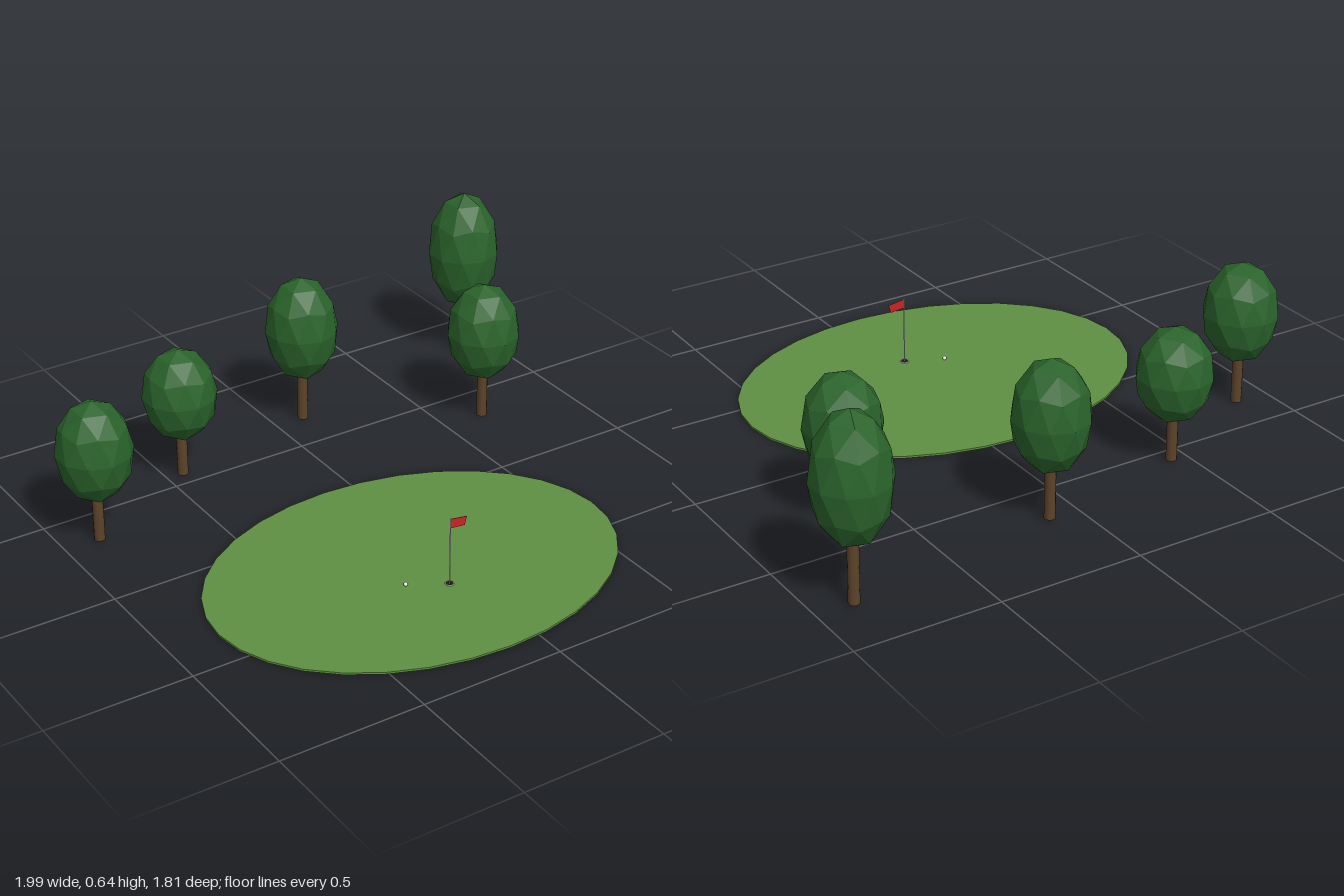
import * as THREE from 'three';

const mat = (name, color, extra = {}) => {
  const m = new THREE.MeshStandardMaterial({ color, ...extra });
  m.name = name;
  return m;
};

export function createModel() {
  const model = new THREE.Group();
  model.name = 'puttingGreen';

  const grass = mat('grass', 0x5f8f42);
  const leaves = mat('leaves', 0x2a632b, { flatShading: true });
  const bark = mat('bark', 0x5c4329);
  const white = mat('white', 0xe8e8e8);
  const red = mat('flagRed', 0xc62424, { side: THREE.DoubleSide });
  const dark = mat('holeDark', 0x1c1c14);

  const add = (parent, name, geometry, material, x, y, z) => {
    const mesh = new THREE.Mesh(geometry, material);
    mesh.name = name;
    mesh.position.set(x, y, z);
    parent.add(mesh);
    return mesh;
  };

  // Oval green: a very thin stretched disc
  const top = 0.007;
  const green = add(model, 'green', new THREE.CylinderGeometry(1, 1, top, 32), grass, -0.11, top / 2, 0.36);
  green.scale.set(0.72, 1, 0.54);

  // Faceted crown with a corner at its pole, stretched per tree
  const crownGeometry = new THREE.IcosahedronGeometry(1, 1);
  crownGeometry.rotateX(-Math.atan((1 + Math.sqrt(5)) / 2));
  crownGeometry.rotateY(Math.PI / 2);

  // Trees: x, z, crown bottom, crown top
  const trees = [
    [-0.875, -0.34, 0.155, 0.517],
    [-0.44, -0.56, 0.145, 0.48],
    [0.108, -0.668, 0.165, 0.555],
    [0.653, -0.34, 0.155, 0.517],
    [0.872, -0.779, 0.195, 0.645],
  ];
  for (const [x, z, low, high] of trees) {
    const tree = new THREE.Group();
    tree.name = 'tree';
    tree.position.set(x, 0, z);
    const base = 0.004;
    const height = low + 0.04 - base;
    add(tree, 'trunk', new THREE.CylinderGeometry(0.0185, 0.0185, height, 12), bark, 0, base + height / 2, 0);
    const crown = add(tree, 'crown', crownGeometry, leaves, 0, (low + high) / 2, 0);
    crown.scale.set(0.13, (high - low) / 2, 0.13);
    model.add(tree);
  }

  // Hole with a pale rim, pole and flag
  const hole = new THREE.Group();
  hole.name = 'holeAndFlag';
  hole.position.set(-0.073, 0, 0.512);
  add(hole, 'cup', new THREE.CylinderGeometry(0.013, 0.013, 0.002, 20), dark, 0, top + 0.0005, 0);
  const rim = add(hole, 'rim', new THREE.TorusGeometry(0.014, 0.0018, 6, 24), white, 0, top + 0.001, 0);
  rim.rotation.x = Math.PI / 2;
  add(hole, 'pole', new THREE.CylinderGeometry(0.002, 0.002, 0.243, 8), white, 0, top + 0.1205, 0);
  const flagShape = new THREE.Shape([
    new THREE.Vector2(0, 0.214),
    new THREE.Vector2(0.054, 0.208),
    new THREE.Vector2(0.062, 0.238),
    new THREE.Vector2(0, 0.247),
  ]);
  add(hole, 'flag', new THREE.ExtrudeGeometry(flagShape, { depth: 0.002, bevelEnabled: false }), red, 0, 0, -0.001);
  model.add(hole);

  // Ball resting on the green
  add(model, 'ball', new THREE.SphereGeometry(0.007, 14, 10), white, -0.198, top + 0.007, 0.448);

  return model;
}
